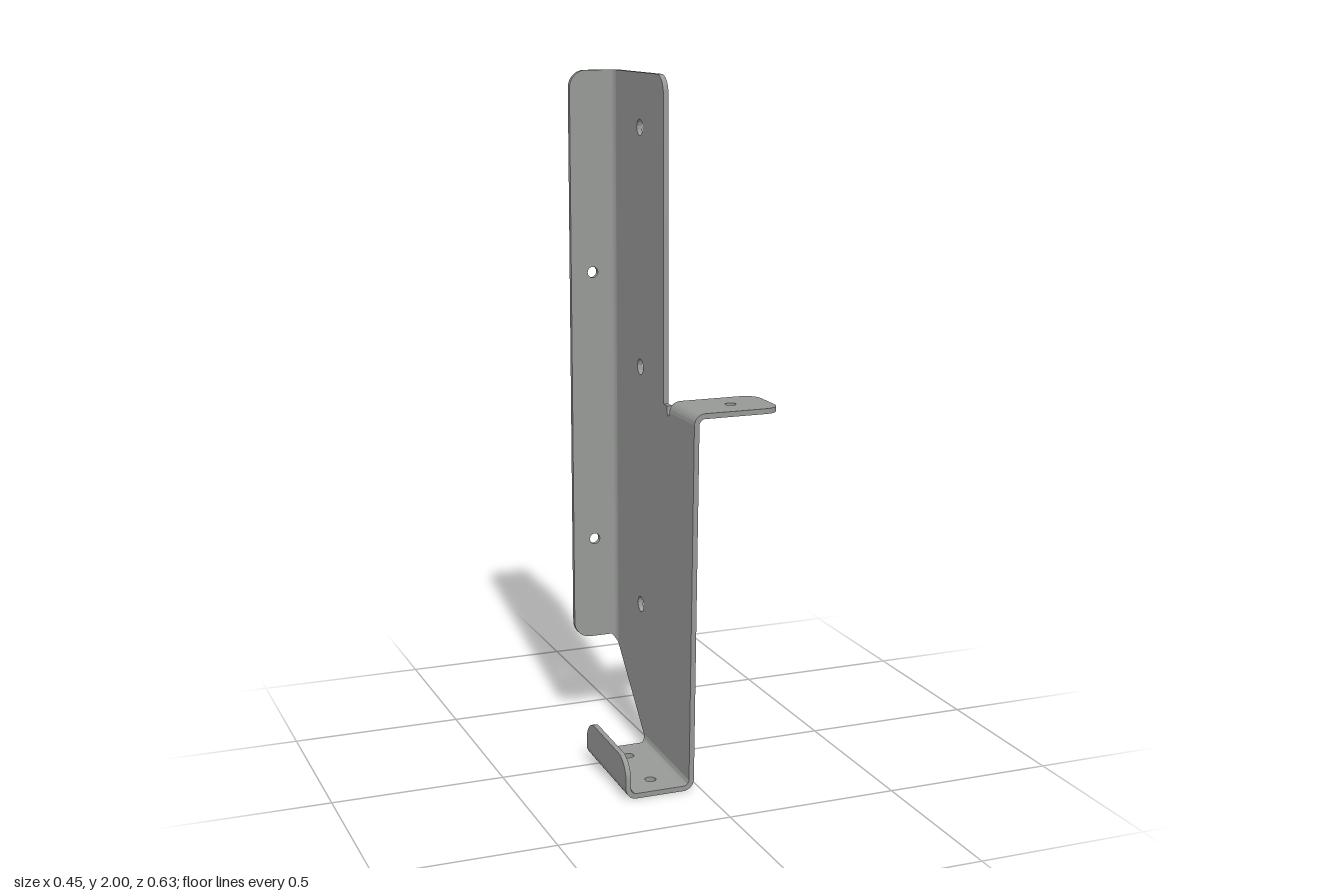
import * as THREE from 'three';
import { toCreasedNormals } from 'three/addons/utils/BufferGeometryUtils.js';

const T = 0.015;      // sheet thickness
const R = 0.032;      // outer bend radius
const TILT = 0.03;    // slope of the bottom tray
const FRONT = 0.285;  // front end of the tray
const material = new THREE.MeshStandardMaterial({ color: 0x979997 });

// Flat sheet from corners [x, y, radius] with holes [x, y, radius]
function sheet(corners, holes = []) {
  const shape = new THREE.Shape();
  const n = corners.length, k = 0.5523;
  corners.forEach(([x, y, r = 0], i) => {
    const p = new THREE.Vector2(x, y);
    const toward = (c) => new THREE.Vector2(c[0], c[1]).sub(p).normalize();
    const u = toward(corners[(i + n - 1) % n]), v = toward(corners[(i + 1) % n]);
    const at = (d, s) => p.clone().addScaledVector(d, s);
    const a = at(u, r);
    if (i === 0) shape.moveTo(a.x, a.y); else shape.lineTo(a.x, a.y);
    if (r > 0) {
      const c1 = at(u, r * (1 - k)), c2 = at(v, r * (1 - k)), b = at(v, r);
      shape.bezierCurveTo(c1.x, c1.y, c2.x, c2.y, b.x, b.y);
    }
  });
  shape.closePath();
  for (const [x, y, r] of holes) {
    shape.holes.push(new THREE.Path().absarc(x, y, r, 0, Math.PI * 2, true));
  }
  return new THREE.ExtrudeGeometry(shape, { depth: T, bevelEnabled: false, curveSegments: 14 });
}

// Quarter bend in xy, running along z; its start may slide from z0 to z1 around the arc
function bend(cx, cy, a0, a1, z0, z1, zEnd) {
  const shape = new THREE.Shape();
  shape.absarc(0, 0, R, a0, a1, a1 < a0);
  shape.absarc(0, 0, R - T, a1, a0, a1 > a0);
  shape.closePath();
  const geo = new THREE.ExtrudeGeometry(shape, { depth: 1, bevelEnabled: false, curveSegments: 12 });
  const pos = geo.attributes.position;
  const mid = (a0 + a1) / 2;
  for (let i = 0; i < pos.count; i++) {
    const x = pos.getX(i), y = pos.getY(i);
    let off = Math.atan2(y, x) - mid;
    off = Math.atan2(Math.sin(off), Math.cos(off));
    const t = off / (a1 - a0) + 0.5;
    const start = THREE.MathUtils.lerp(z0, z1, t);
    pos.setXYZ(i, x + cx, y + cy, THREE.MathUtils.lerp(start, zEnd, pos.getZ(i)));
  }
  return geo;
}

// Side-view point (z, y) on the plate at the top of the tray bend
function seam(z) {
  const c = Math.cos(TILT), s = Math.sin(TILT);
  return [FRONT + z * c + R * s, R * c - z * s];
}

function add(parent, name, geo) {
  const mesh = new THREE.Mesh(toCreasedNormals(geo, 0.6), material);
  mesh.name = name;
  parent.add(mesh);
}

export function createModel() {
  const model = new THREE.Group();
  model.name = 'bracket';
  const q = Math.PI / 2;

  // Upright side plate, drawn as (z, y), with relief notch beside the tab
  const plate = sheet([
    seam(0), [0.317, 1.068], [0.133, 1.068], [0.133, 1.058, 0.008], [0.117, 1.058, 0.008],
    [0.117, 1.085], [0.087, 1.085], [0.087, 2, 0.05], [-0.285, 2], [-0.285, 0.256], seam(-0.36),
  ], [1.847, 1.16, 0.442].map((y) => [-0.095, y, 0.023]));
  add(model, 'sidePlate', plate.rotateY(-q).translate(-0.02, 0, 0));

  // Back flange and its bend
  const flange = sheet([
    [-0.052, 0.288], [-0.052, 2], [-0.172, 2, 0.05], [-0.172, 0.288, 0.05],
  ], [[-0.105, 1.412, 0.016], [-0.105, 0.597, 0.016]]);
  add(model, 'backFlange', flange.translate(0, 0, -0.317));
  add(model, 'backBend', bend(-0.052, 0.285, 0, q, 0.256, 0.288, 2).rotateX(-q));

  // Mounting tab, drawn as (x, -z)
  const tab = sheet([
    [-0.003, -0.317], [0.225, -0.317, 0.045], [0.225, -0.133, 0.045], [-0.003, -0.133],
  ], [[0.112, -0.224, 0.016]]);
  add(model, 'mountingTab', tab.rotateX(-q).translate(0, 1.085, 0));
  add(model, 'tabBend', bend(-0.003, 1.068, 2 * q, q, 0.133, 0.133, 0.317));

  // Tilted bottom tray with upturned lip
  const tray = new THREE.Group();
  tray.name = 'bottomTray';
  tray.position.z = FRONT;
  tray.rotation.x = TILT;
  model.add(tray);
  const floor = sheet([
    [-0.194, 0], [-0.052, 0], [-0.052, 0.332], [-0.194, 0.332],
  ], [[-0.123, 0.077, 0.016], [-0.123, 0.255, 0.016]]);
  add(tray, 'trayFloor', floor.rotateX(-q));
  add(tray, 'trayBend', bend(-0.052, R, 0, -q, -0.36, -0.332, 0));
  add(tray, 'lipBend', bend(-0.194, R, -q, -2 * q, -0.332, -0.332, 0));
  const lip = sheet([[0, R], [0, 0.117, 0.065], [-0.332, 0.117, 0.065], [-0.332, R]]);
  add(tray, 'trayLip', lip.rotateY(-q).translate(-0.211, 0, 0));

  return model;
}
